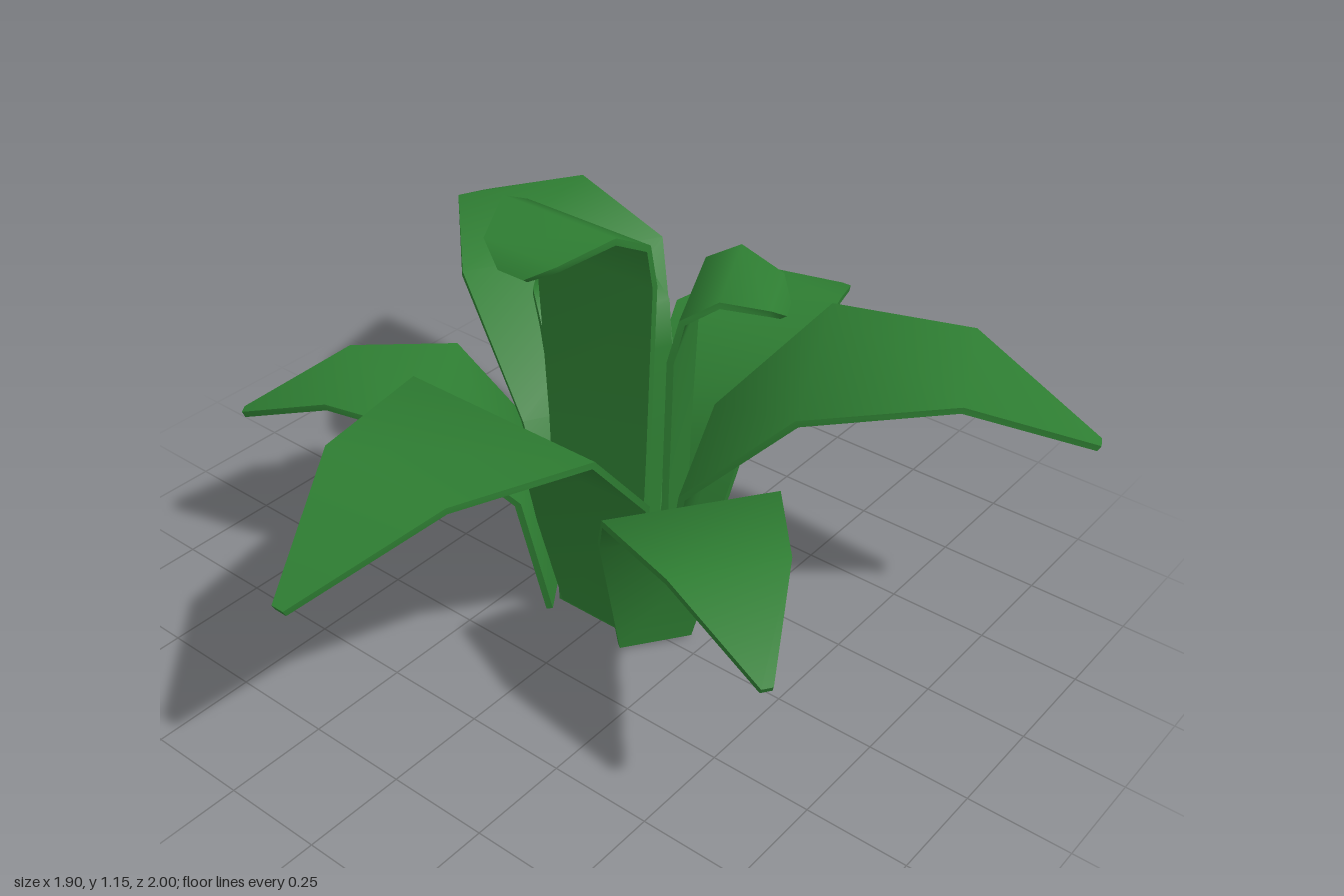
import * as THREE from 'three';

const THICKNESS = 0.016;

// Adds a smooth ribbon between two rails to the buffers
function strip(pos, idx, left, right) {
  const start = pos.length / 3;
  left.forEach((p, i) => pos.push(...p, ...right[i]));
  for (let i = 0; i < left.length - 1; i++) {
    const a = start + 2 * i;
    idx.push(a, a + 2, a + 1, a + 1, a + 2, a + 3);
  }
}

// Leaf swept along a profile of [reach, height, halfWidth]; the profile is its upper face
function leafGeometry(profile) {
  const UL = [], UR = [], LL = [], LR = [];
  profile.forEach(([r, y, w], i) => {
    const a = profile[Math.max(i - 1, 0)];
    const b = profile[Math.min(i + 1, profile.length - 1)];
    const len = Math.hypot(b[0] - a[0], b[1] - a[1]);
    const dr = THICKNESS * (b[1] - a[1]) / len;
    const dy = -THICKNESS * (b[0] - a[0]) / len;
    UL.push([-w, y, r]);
    UR.push([w, y, r]);
    LL.push([-w, y + dy, r + dr]);
    LR.push([w, y + dy, r + dr]);
  });
  const pos = [], idx = [], n = profile.length - 1;
  strip(pos, idx, UL, UR); // upper face
  strip(pos, idx, LR, LL); // lower face
  strip(pos, idx, UR, LR); // edges
  strip(pos, idx, LL, UL);
  strip(pos, idx, [UL[n], LL[n]], [UR[n], LR[n]]); // tip
  strip(pos, idx, [LL[0], UL[0]], [LR[0], UR[0]]); // foot
  const geo = new THREE.BufferGeometry();
  geo.setAttribute('position', new THREE.Float32BufferAttribute(pos, 3));
  geo.setIndex(idx);
  geo.computeVertexNormals();
  return geo;
}

const OUTER = [[0, 0.01, 0.09], [0.06, 0.37, 0.155], [0.26, 0.585, 0.2], [0.51, 0.605, 0.133], [0.75, 0.492, 0.013]];
const MIDDLE = [[0, 0.005, 0.115], [0.07, 0.465, 0.2], [0.33, 0.752, 0.26], [0.67, 0.785, 0.17], [0.97, 0.637, 0.016]];

// Upright leaf with a curled top; the stem length sets its height
const innerProfile = (top, s) => [
  [0, 0, 0.125], [0, (top - 0.16) * 0.55, 0.145], [0.01, top - 0.16, 0.165], [0.04, top - 0.05, 0.17],
  [0.135, top, 0.155], [0.255, top - 0.035, 0.1], [0.285, top - 0.075, 0.035],
].map(([r, y, w]) => [r * s, y, w * s]);

export function createModel() {
  const group = new THREE.Group();
  const green = new THREE.MeshStandardMaterial({ color: 0x2e7d32 });
  green.name = 'leafGreen';

  // name, profile, foot x, foot z, heading in degrees from the front
  const leaves = [
    ['outerLeafBack', OUTER, -0.01, -0.25, 180],
    ['outerLeafLeft', OUTER, 0.145, 0.02, 55],
    ['outerLeafRight', OUTER, -0.165, 0.02, -56],
    ['middleLeafFront', MIDDLE, -0.01, 0.03, 0],
    ['middleLeafLeft', MIDDLE, 0.07, -0.12, 115],
    ['middleLeafRight', MIDDLE, -0.1, -0.115, -120],
    ['innerLeafFront', innerProfile(1.15, 1), -0.01, 0.03, 0],
    ['innerLeafLeft', innerProfile(0.95, 0.88), 0.09, -0.115, 116],
    ['innerLeafRight', innerProfile(0.8, 0.95), -0.09, -0.11, -117],
  ];
  for (const [name, profile, x, z, heading] of leaves) {
    const leaf = new THREE.Mesh(leafGeometry(profile), green);
    leaf.name = name;
    leaf.position.set(x, 0, z);
    leaf.rotation.y = THREE.MathUtils.degToRad(heading);
    group.add(leaf);
  }
  return group;
}
